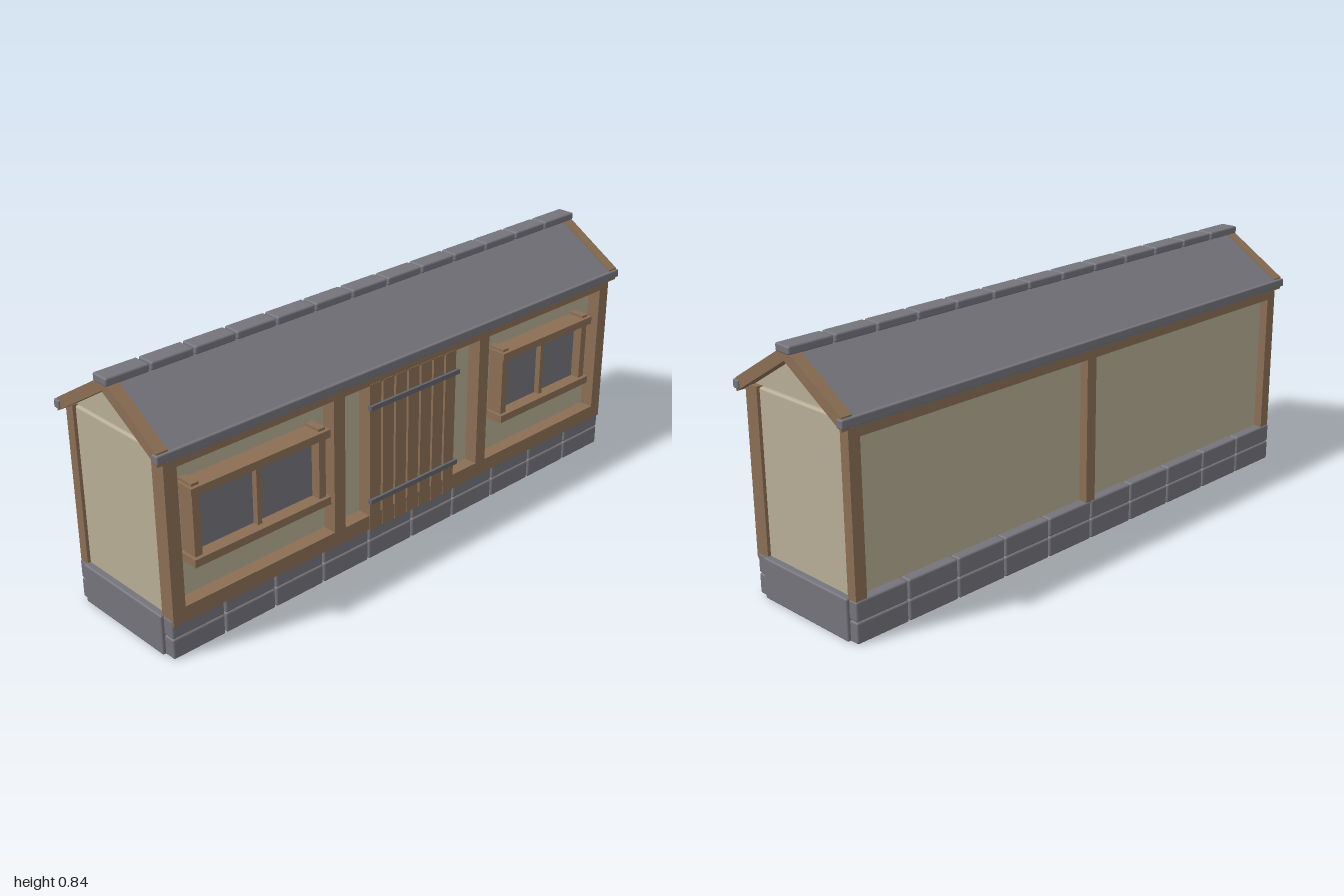
import * as THREE from 'three';
import { RoundedBoxGeometry } from 'three/addons/geometries/RoundedBoxGeometry.js';

const material = (name, color) => {
  const m = new THREE.MeshStandardMaterial({ color });
  m.name = name;
  return m;
};

export function createModel() {
  const model = new THREE.Group();
  model.name = 'longHouse';
  const plaster = material('plaster', 0xb8ad96);
  const timber = material('timber', 0x8b6e54);
  const stone = material('stone', 0x75747b);
  const slate = material('slate', 0x75747b);
  const iron = material('iron', 0x64656c);

  const add = (name, geometry, mat, parent = model) => {
    const mesh = new THREE.Mesh(geometry, mat);
    mesh.name = name;
    parent.add(mesh);
    return mesh;
  };
  const group = (name) => {
    const g = new THREE.Group();
    g.name = name;
    model.add(g);
    return g;
  };
  // Box given by its extents; a radius rounds the edges
  const box = (name, [x0, x1], [y0, y1], [z0, z1], mat, parent, radius = 0) => {
    const size = [x1 - x0, y1 - y0, z1 - z0];
    const geometry = radius ? new RoundedBoxGeometry(...size, 2, radius) : new THREE.BoxGeometry(...size);
    return add(name, geometry, mat, parent)
      .position.set((x0 + x1) / 2, (y0 + y1) / 2, (z0 + z1) / 2);
  };
  // Cross-section in the (z, y) plane, extruded along x
  const prism = (name, points, x0, x1, mat, parent) => {
    const shape = new THREE.Shape(points.map(([z, y]) => new THREE.Vector2(z, y)));
    const geometry = new THREE.ExtrudeGeometry(shape, { depth: x1 - x0, bevelEnabled: false });
    geometry.rotateY(Math.PI / 2).translate(x0, 0, 0);
    return add(name, geometry, mat, parent);
  };

  // Stone footing: two courses front and back, one slab at each end
  const footing = group('footing');
  for (const [z0, z1] of [[0.175, 0.223], [-0.237, -0.19]]) {
    for (let i = 0; i < 10; i++) {
      const x = -0.975 + i * 0.195;
      box('footingStone', [x + 0.003, x + 0.192], [0, 0.067], [z0, z1], stone, footing, 0.006);
      box('footingStone', [x + 0.003, x + 0.192], [0.069, 0.132], [z0, z1], stone, footing, 0.006);
    }
  }
  for (const x of [-0.955, 0.955]) {
    box('endSlab', [x - 0.027, x + 0.027], [0, 0.135], [-0.205, 0.183], stone, footing, 0.006);
  }

  // Plaster body and gable
  box('walls', [-0.96, 0.96], [0.125, 0.664], [-0.203, 0.18], plaster, model, 0.008);
  prism('gable', [[-0.205, 0.669], [0.205, 0.669], [0, 0.794]], -0.955, 0.955, plaster);

  // Front timber frame
  const frontFrame = group('frontFrame');
  const frontZ = [0.175, 0.228];
  box('sillBeam', [-0.97, 0.97], [0.115, 0.165], frontZ, timber, frontFrame);
  box('topBeam', [-0.97, 0.97], [0.618, 0.667], frontZ, timber, frontFrame);
  for (const x of [-0.9475, -0.3225, 0.3225, 0.9475]) {
    box('frontPost', [x - 0.0225, x + 0.0225], [0.165, 0.618], frontZ, timber, frontFrame);
  }

  // Back timber frame
  const backFrame = group('backFrame');
  const backZ = [-0.233, -0.198];
  box('backBeam', [-0.97, 0.97], [0.615, 0.667], backZ, timber, backFrame);
  for (const x of [-0.95, 0, 0.95]) {
    box('backPost', [x - 0.02, x + 0.02], [0.127, 0.615], backZ, timber, backFrame);
  }

  // Plank door with two iron bars
  const door = group('door');
  for (let i = 0; i < 7; i++) {
    const x = -0.197 + i * 0.0558;
    box('doorPlank', [x, x + 0.047], [0.111, 0.622], [0.178, 0.23], timber, door);
  }
  for (const y of [0.545, 0.217]) {
    box('doorBar', [-0.2, 0.195], [y - 0.008, y + 0.008], [0.224, 0.239], iron, door);
  }

  // Framed windows
  const addWindow = (name, x0, x1) => {
    const w = group(name);
    const mid = (x0 + x1) / 2;
    box('pane', [x0 + 0.025, x1 - 0.025], [0.3, 0.53], [0.197, 0.205], slate, w);
    box('paneBacking', [x0 + 0.025, x1 - 0.025], [0.3, 0.53], [0.178, 0.197], timber, w);
    for (const y of [0.304, 0.532]) {
      box('windowRail', [x0, x1], [y - 0.013, y + 0.013], [0.178, 0.25], timber, w);
    }
    for (const x of [x0 + 0.023, x1 - 0.023]) {
      box('windowStile', [x - 0.013, x + 0.013], [0.283, 0.553], [0.178, 0.238], timber, w);
    }
    box('mullion', [mid - 0.008, mid + 0.008], [0.304, 0.532], [0.178, 0.225], timber, w);
  };
  addWindow('rightWindow', -0.898, -0.38);
  addWindow('leftWindow', 0.396, 0.858);

  // Pitched roof, barge boards, eaves and ridge caps
  const roof = group('roof');
  const slope = 0.61;
  const chevron = (top, bottom, z) => [
    [-z, bottom - slope * z], [0, bottom], [z, bottom - slope * z],
    [z, top - slope * z], [0, top], [-z, top - slope * z],
  ];
  prism('roofSlopes', chevron(0.826, 0.794, 0.24), -0.96, 0.96, slate, roof);
  for (const x of [-0.976, 0.976]) {
    prism('bargeBoard', chevron(0.832, 0.79, 0.238), x - 0.019, x + 0.019, timber, roof);
  }
  for (const z of [-0.235, 0.234]) {
    box('eave', [-1, 1], [0.655, 0.682], [z - 0.013, z + 0.013], slate, roof, 0.004);
  }
  for (let i = 0; i < 13; i++) {
    const x = -1 + i * (2 / 13);
    box('ridgeCap', [x, x + 0.147 + (i === 12 ? 0.0068 : 0)], [0.812, 0.838], [-0.032, 0.032], slate, roof, 0.006);
  }
  return model;
}
